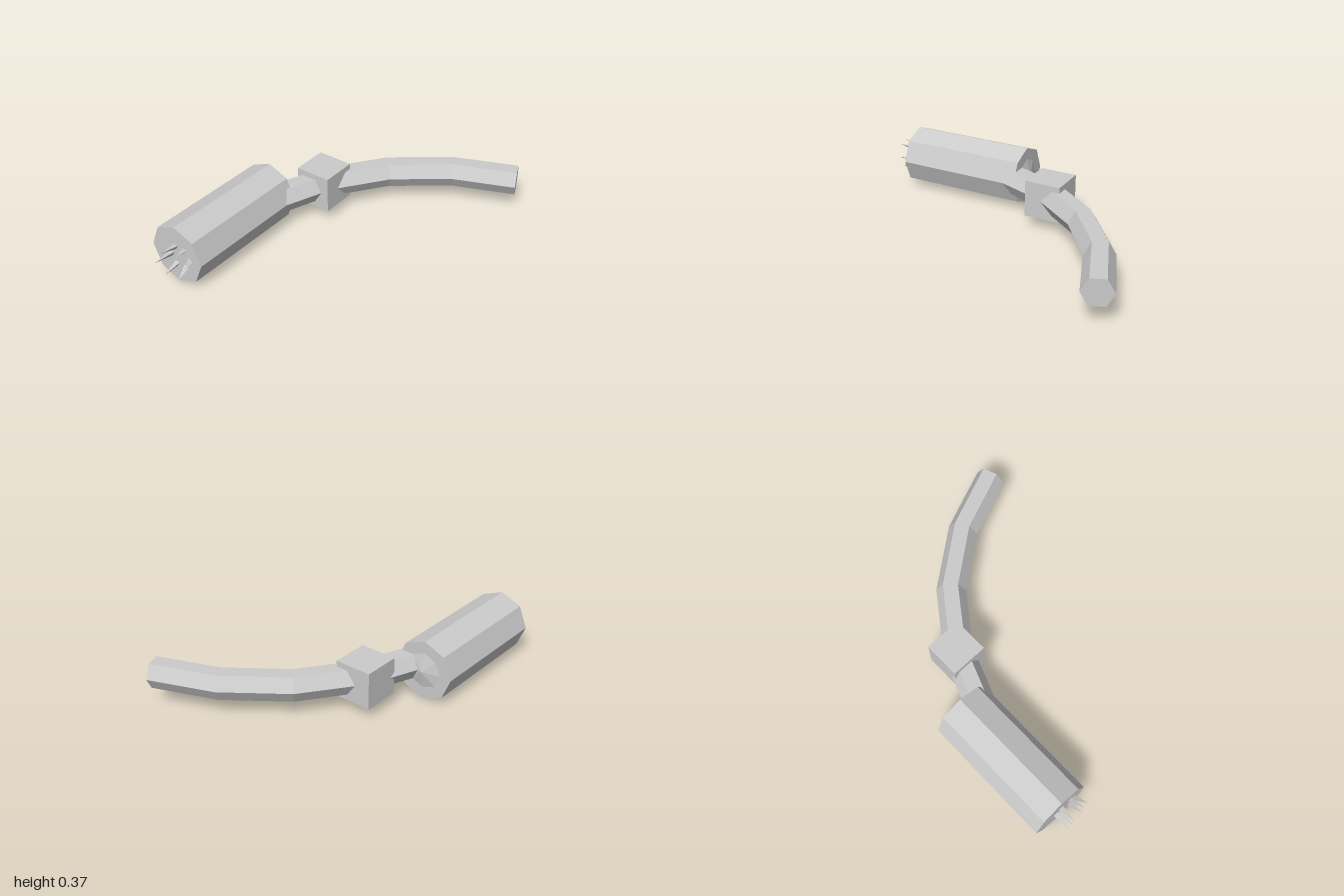
import * as THREE from 'three';

const CY = 0.186; // height of the shared centre line
const material = new THREE.MeshStandardMaterial({ color: 0xcccccc, flatShading: true });

function add(group, name, geometry, x = 0, y = 0, z = 0) {
  const mesh = new THREE.Mesh(geometry, material);
  mesh.name = name;
  mesh.position.set(x, y, z);
  group.add(mesh);
  return mesh;
}

// Six-sided bar whose rings follow a bent path in the horizontal plane
function bentBar(path, radius) {
  const n = path.length - 1;
  const pts = path.map(([x, z]) => new THREE.Vector3(x, CY, z));
  const up = new THREE.Vector3(0, 1, 0);
  const rings = pts.map((p, i) => {
    const before = pts[Math.max(i - 1, 0)], after = pts[Math.min(i + 1, n)];
    const dir = before.clone().sub(after).normalize();
    return { p, side: dir.cross(up) };
  });
  const geo = new THREE.CylinderGeometry(radius, radius, 1, 6, n, false, Math.PI / 2);
  const pos = geo.attributes.position;
  const v = new THREE.Vector3();
  for (let k = 0; k < pos.count; k++) {
    const { p, side } = rings[Math.round((0.5 - pos.getY(k)) * n)];
    v.copy(p).addScaledVector(side, pos.getX(k)).addScaledVector(up, pos.getZ(k));
    pos.setXYZ(k, v.x, v.y, v.z);
  }
  geo.computeVertexNormals();
  return geo;
}

export function createModel() {
  const group = new THREE.Group();
  group.name = 'bentHandleTool';

  // Eight-sided head with a shallow cone on its rear face
  add(group, 'head', new THREE.CylinderGeometry(0.183, 0.183, 0.797, 8).rotateX(Math.PI / 2), -0.492, CY, 0.4635);
  add(group, 'rearCone', new THREE.ConeGeometry(0.11, 0.025, 8).rotateX(-Math.PI / 2), -0.492, CY, 0.0525);

  // Curved handle and the block around it
  add(group, 'handle', bentBar([[0.648, -0.913], [0.278, -0.763], [-0.04, -0.52], [-0.275, -0.2], [-0.42, 0.18]], 0.089));
  add(group, 'block', new THREE.BoxGeometry(0.225, 0.225, 0.225), -0.288, CY, -0.197);

  // Ring of six thin three-sided spikes on the front face
  const axis = new THREE.Vector3(0, 1, 0);
  for (let i = 0; i < 6; i++) {
    const a = (i * Math.PI) / 3, c = Math.cos(a), s = Math.sin(a);
    const base = new THREE.Vector3(-0.46 + 0.065 * c, CY + 0.065 * s, 0.855);
    const tip = new THREE.Vector3(-0.445 + 0.088 * c, CY + 0.088 * s, 0.965 - 0.024 * c);
    const dir = tip.clone().sub(base);
    const spike = add(group, 'spike', new THREE.ConeGeometry(0.02, dir.length(), 3));
    spike.position.copy(base).add(tip).multiplyScalar(0.5);
    spike.quaternion.setFromUnitVectors(axis, dir.normalize());
  }
  return group;
}
